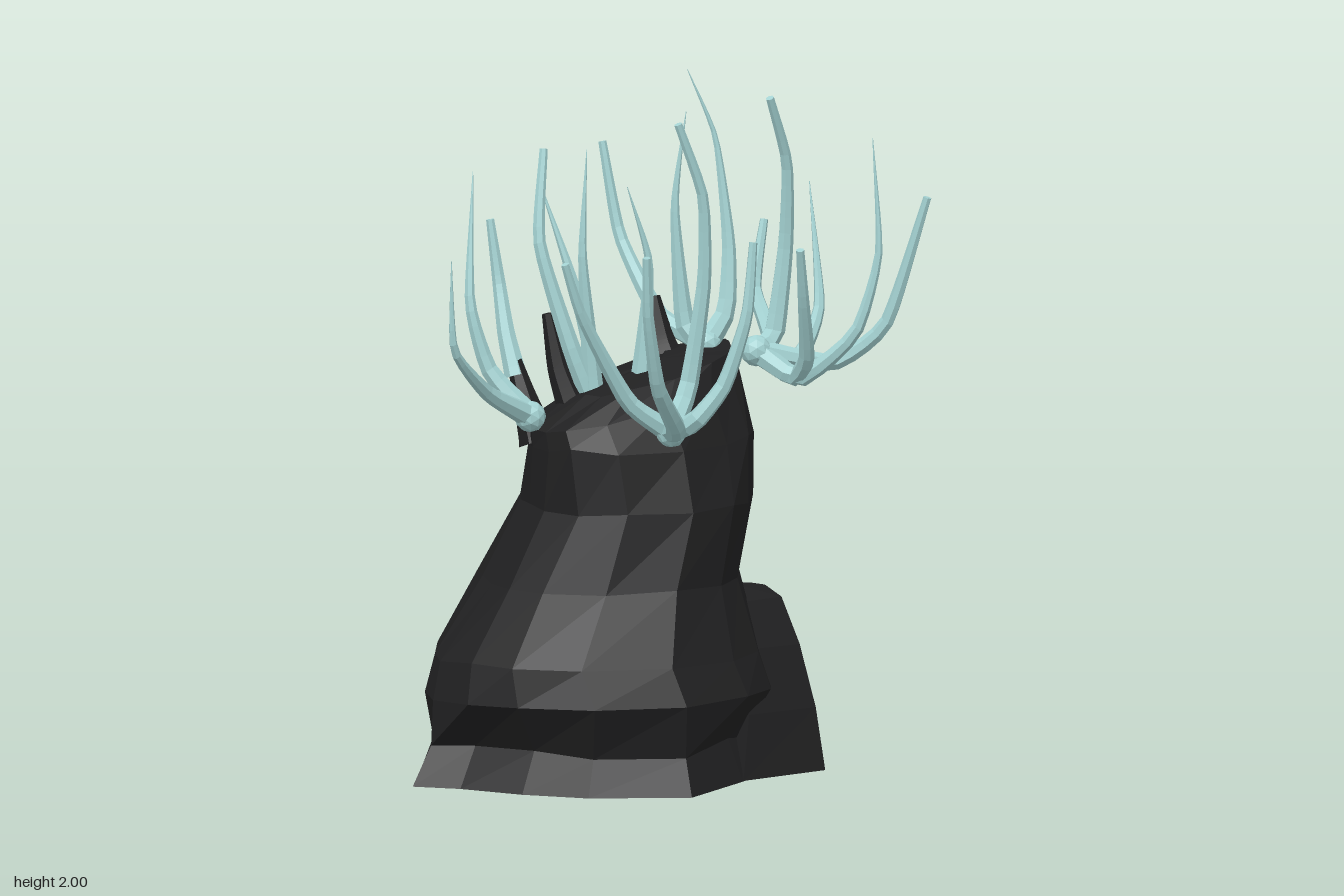
import * as THREE from 'three';

const rockMat = new THREE.MeshStandardMaterial({ color: 0x202021, flatShading: true });
rockMat.name = 'dark rock';
const armMat = new THREE.MeshStandardMaterial({ color: 0xa4d2d2, flatShading: true });
armMat.name = 'pale teal';

// small seeded noise in -1..1
let seed = 7;
const noise = () => {
  seed = (seed * 16807) % 2147483647;
  return (seed / 2147483647) * 2 - 1;
};

// fit an outline of [x, z] points into the box xMin, xMax, zMin, zMax
function fit(outline, [a, b, c, d]) {
  const xs = outline.map(p => p[0]), zs = outline.map(p => p[1]);
  const x0 = Math.min(...xs), x1 = Math.max(...xs), z0 = Math.min(...zs), z1 = Math.max(...zs);
  return outline.map(([x, z]) => [a + (b - a) * (x - x0) / (x1 - x0), c + (d - c) * (z - z0) / (z1 - z0)]);
}

// loft through rings { y, pts, tilt }, closed below and above
function rock(name, rings, top, jitter) {
  const n = rings[0].pts.length, pos = [], idx = [];
  rings.forEach(({ y, pts, tilt = 0 }, s) => {
    const j = s === 0 ? 0 : jitter;
    for (const [x, z] of pts) pos.push(x + noise() * j, y + tilt * x + noise() * j, z + noise() * j);
  });
  const last = (rings.length - 1) * n, base = pos.length / 3;
  pos.push(-0.05, 0, 0, ...top);
  for (let i = 0; i < n; i++) {
    const k = (i + 1) % n;
    for (let r = 0; r < last; r += n) {
      idx.push(r + k, r + i, r + n + i, r + k, r + n + i, r + n + k);
    }
    idx.push(base, i, k, base + 1, last + k, last + i);
  }
  const g = new THREE.BufferGeometry();
  g.setAttribute('position', new THREE.Float32BufferAttribute(pos, 3));
  g.setIndex(idx);
  g.computeVertexNormals();
  const m = new THREE.Mesh(g, rockMat);
  m.name = name;
  return m;
}

// tapering tube through points; the last two rings share the end, closing the tip
function tentacle(name, points, r0, r1, mat = armMat) {
  const curve = new THREE.CatmullRomCurve3(points.map(p => new THREE.Vector3(...p)), false, 'catmullrom', 0.28);
  const seg = 18, sides = 7;
  const g = new THREE.TubeGeometry(curve, seg, 1, sides, false);
  const p = g.attributes.position, v = new THREE.Vector3();
  for (let i = 0; i <= seg; i++) {
    const t = Math.min(1, i / (seg - 1));
    const c = curve.getPointAt(i / seg), target = curve.getPointAt(t);
    const r = i === seg ? 0.0005 : r0 + (r1 - r0) * Math.pow(t, 0.8);
    for (let j = 0; j <= sides; j++) {
      const k = i * (sides + 1) + j;
      v.fromBufferAttribute(p, k).sub(c).multiplyScalar(r).add(target);
      p.setXYZ(k, v.x, v.y, v.z);
    }
  }
  g.computeVertexNormals();
  const m = new THREE.Mesh(g, mat);
  m.name = name;
  return m;
}

export function createModel() {
  const model = new THREE.Group();
  model.name = 'tentacledRock';

  // main boulder: a craggy foot that blends into a rounder neck
  const base = [
    [-0.75, -0.11], [-0.67, -0.2], [-0.55, -0.35], [-0.35, -0.43], [0.12, -0.51], [0.125, -0.43],
    [0.17, -0.48], [0.33, -0.24], [0.45, -0.05], [0.42, 0.07], [0.3, 0.26], [0.16, 0.32],
    [0.07, 0.37], [-0.2, 0.5], [-0.45, 0.34], [-0.57, 0.18], [-0.66, 0]
  ];
  const foot = [
    [-0.67, -0.1], [-0.63, -0.2], [-0.52, -0.34], [-0.33, -0.41], [0.1, -0.47], [0.11, -0.43],
    [0.16, -0.44], [0.3, -0.25], [0.36, -0.05], [0.34, 0.1], [0.27, 0.24], [0.2, 0.33],
    [0.06, 0.43], [-0.2, 0.48], [-0.45, 0.35], [-0.6, 0.19], [-0.67, 0.05]
  ];
  const neck = foot.map(([x, z]) => {
    const a = Math.atan2((z - 0) / 0.48, (x + 0.15) / 0.52);
    return [Math.cos(a), Math.sin(a)];
  });
  const rings = [
    { y: 0.02, pts: base },
    { y: 0.13, pts: fit(base, [-0.68, 0.41, -0.49, 0.44]) },
    { y: 0.27, pts: foot },
    { y: 0.38, pts: fit(foot, [-0.65, 0.33, -0.45, 0.42]) }
  ];
  // blend, y, box, tilt
  [
    [0.45, 0.59, [-0.48, 0.28, -0.4, 0.33], 0],
    [0.85, 0.8, [-0.36, 0.31, -0.35, 0.3], 0],
    [1, 0.98, [-0.36, 0.33, -0.28, 0.24], 0],
    [1, 1.1, [-0.36, 0.32, -0.23, 0.17], 0.22],
    [1, 1.16, [-0.22, 0.3, -0.17, 0.12], 0.2]
  ].forEach(([t, y, box, tilt]) => {
    const f = fit(foot, box), k = fit(neck, box);
    rings.push({ y, tilt, pts: f.map(([x, z], i) => [x + (k[i][0] - x) * t, z + (k[i][1] - z) * t]) });
  });
  model.add(rock('boulder', rings, [0.06, 1.2, -0.02], 0.01));

  // shoulder stone on the left flank
  const stone = [[0.12, -0.28], [0.32, -0.25], [0.5, -0.05], [0.5, 0.07], [0.38, 0.35], [0.1, 0.36]];
  model.add(rock('shoulderStone', [
    [0.02, [0.08, 0.5, -0.28, 0.36]],
    [0.2, [0.12, 0.47, -0.28, 0.33]],
    [0.38, [0.14, 0.44, -0.26, 0.27]],
    [0.51, [0.16, 0.4, -0.2, 0.2]]
  ].map(([y, box]) => ({ y, pts: fit(stone, box) })), [0.27, 0.53, 0.02], 0.006));

  // tentacles, grouped by the hub each grows from: blunt ones and pointed ones
  const clusters = {
    rightCluster: { hub: [-0.38, 1.07, -0.05], blunt: [], pointed: [
      [[-0.55, 1.16, -0.02], [-0.71, 1.31, 0.04], [-0.72, 1.57, 0.04]],
      [[-0.46, 1.2, -0.14], [-0.5, 1.4, -0.18], [-0.44, 1.76, -0.25]]
    ] },
    frontCluster: { hub: [-0.07, 1.03, 0.21], pointed: [], blunt: [
      [[-0.2, 1.13, 0.18], [-0.36, 1.39, 0.18], [-0.42, 1.55, 0.18]],
      [[-0.12, 1.06, 0.31], [-0.24, 1.2, 0.39], [-0.31, 1.42, 0.44], [-0.33, 1.6, 0.46]],
      [[-0.05, 1.07, 0.3], [0.02, 1.18, 0.35], [0.07, 1.38, 0.39], [0.1, 1.59, 0.38]],
      [[0.02, 1.15, 0.17], [0.06, 1.45, 0.19], [0.05, 1.7, 0.2], [-0.03, 1.92, 0.19]]
    ] },
    leftCluster: { hub: [0.35, 1.2, 0.04], blunt: [
      [[0.55, 1.16, 0.14], [0.66, 1.28, 0.25], [0.74, 1.65, 0.34]],
      [[0.45, 1.22, -0.03], [0.48, 1.34, -0.15], [0.54, 1.53, -0.19]],
      [[0.41, 1.13, 0.14], [0.4, 1.2, 0.22], [0.34, 1.38, 0.29], [0.3, 1.54, 0.33]],
      [[0.42, 1.24, 0.03], [0.46, 1.5, 0.03], [0.45, 1.74, 0.05], [0.37, 1.94, 0.08]]
    ], pointed: [
      [[0.42, 1.13, 0.16], [0.53, 1.27, 0.28], [0.59, 1.5, 0.31], [0.59, 1.83, 0.28]],
      [[0.5, 1.16, 0.03], [0.6, 1.3, 0], [0.65, 1.64, -0.12]]
    ] },
    topCluster: { hub: [0.23, 1.22, -0.04], blunt: [
      [[0.17, 1.29, -0.19], [0.14, 1.5, -0.34], [0.12, 1.77, -0.4]]
    ], pointed: [
      [[0.19, 1.28, -0.09], [0.17, 1.62, -0.11], [0.21, 1.89, -0.11]],
      [[0.3, 1.31, -0.04], [0.33, 1.5, -0.07], [0.32, 1.8, -0.12], [0.25, 2, -0.16]]
    ] },
    crownCluster: { hub: [-0.15, 1.08, -0.06], blunt: [
      [[-0.21, 1.25, -0.09], [-0.27, 1.55, -0.16], [-0.22, 1.81, -0.21]]
    ], pointed: [
      [[-0.17, 1.3, -0.06], [-0.19, 1.53, -0.06], [-0.16, 1.82, -0.08]]
    ] },
    middleTentacle: { hub: [-0.02, 1.12, -0.01], blunt: [], pointed: [
      [[-0.01, 1.3, 0], [0, 1.5, 0], [-0.06, 1.71, -0.02]]
    ] },
    backTentacle: { hub: [-0.04, 1.1, -0.17], blunt: [], pointed: [
      [[-0.05, 1.25, -0.23], [-0.08, 1.45, -0.29], [-0.13, 1.7, -0.37]]
    ] },
    backRightTentacle: { hub: [-0.33, 1.16, -0.19], pointed: [], blunt: [
      [[-0.33, 1.28, -0.24], [-0.32, 1.42, -0.29], [-0.33, 1.6, -0.32]]
    ] }
  };
  for (const [name, { hub, blunt, pointed }] of Object.entries(clusters)) {
    const group = new THREE.Group();
    group.name = name;
    blunt.forEach(arm => group.add(tentacle('bluntTentacle', [hub, ...arm], 0.034, 0.012)));
    pointed.forEach(arm => group.add(tentacle('pointedTentacle', [hub, ...arm], 0.036, 0.001)));
    // swollen root shared by several tentacles
    if (blunt.length + pointed.length > 1) {
      const root = new THREE.Mesh(new THREE.IcosahedronGeometry(0.046, 1), armMat);
      root.name = 'tentacleRoot';
      root.position.set(...hub);
      group.add(root);
    }
    model.add(group);
  }

  // dark rock spikes among the tentacles
  [
    [[0.16, 1.12, -0.1], [0.15, 1.22, -0.14], [0.14, 1.35, -0.17]],
    [[-0.3, 0.98, -0.12], [-0.32, 1.1, -0.16], [-0.33, 1.23, -0.21]],
    [[-0.18, 1.02, -0.08], [-0.22, 1.18, -0.13], [-0.24, 1.34, -0.16]]
  ].forEach(p => model.add(tentacle('rockSpike', p, 0.06, 0.018, rockMat)));

  return model;
}
